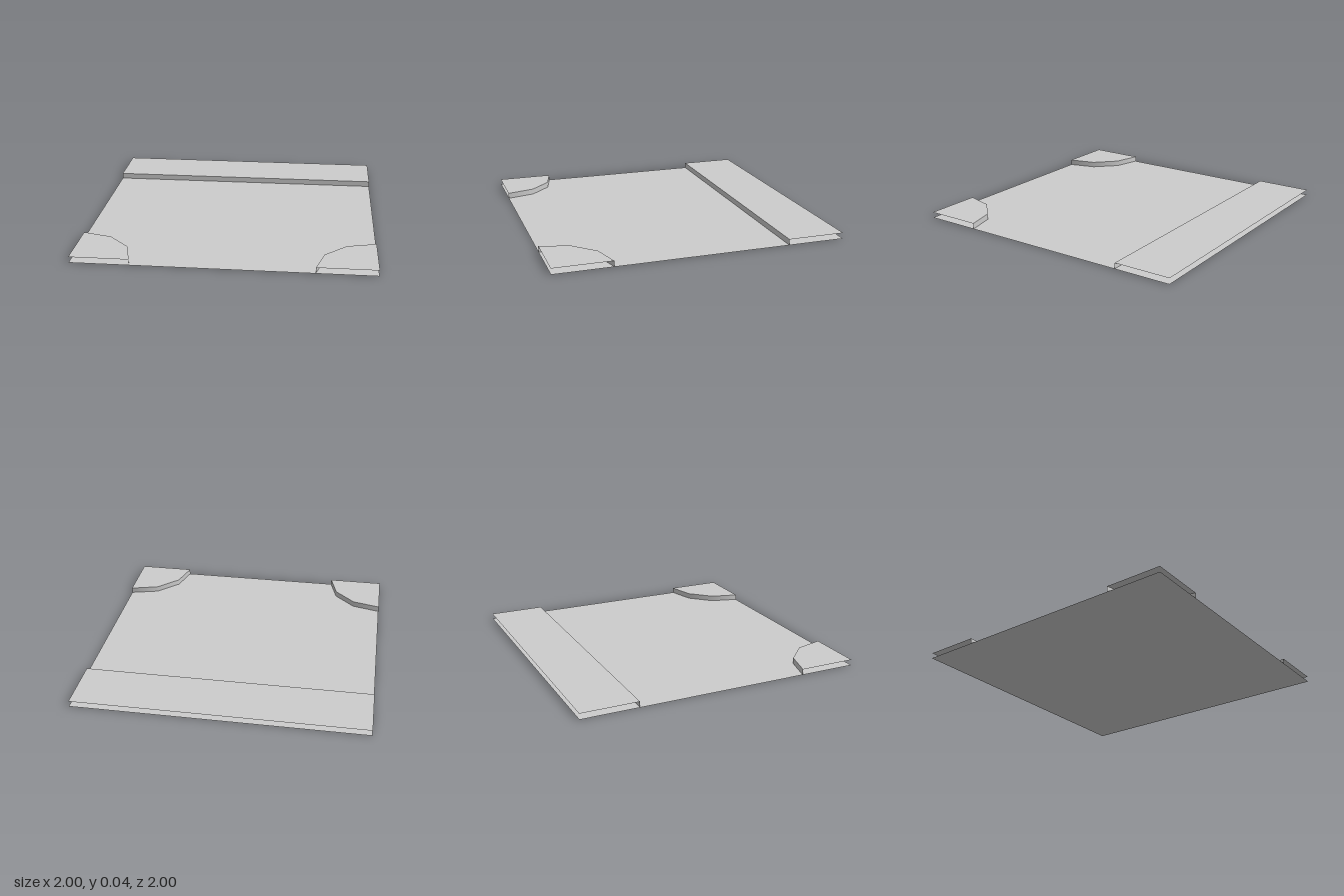
import * as THREE from 'three';

const HEIGHT = 0.04; // height of the raised areas
const RADIUS = 0.4;  // corner radius and depth of the back strip

export function createModel() {
  const model = new THREE.Group();
  model.name = 'floorTile';

  const grey = new THREE.MeshStandardMaterial({ color: 0xcccccc, side: THREE.DoubleSide });
  grey.name = 'lightGrey';

  const add = (name, geometry, x, y, z) => {
    const mesh = new THREE.Mesh(geometry, grey);
    mesh.name = name;
    mesh.position.set(x, y, z);
    model.add(mesh);
  };

  // Flat ground sheet
  add('ground', new THREE.PlaneGeometry(2, 2).rotateX(-Math.PI / 2), 0, 0, 0);

  // Raised strip along the back, open at its outer sides
  const stripEdge = -1 + RADIUS;
  add('backStripTop', new THREE.PlaneGeometry(2, RADIUS).rotateX(-Math.PI / 2), 0, HEIGHT, -1 + RADIUS / 2);
  add('backStripKerb', new THREE.PlaneGeometry(2, HEIGHT), 0, HEIGHT / 2, stripEdge);

  // Raised quarter-round corners at the front, three segments each
  const quarter = Math.PI / 2;
  for (const side of [1, -1]) {
    const name = side > 0 ? 'leftCorner' : 'rightCorner';
    const top = new THREE.CircleGeometry(RADIUS, 3, side > 0 ? quarter : 0, quarter).rotateX(-quarter);
    const kerb = new THREE.CylinderGeometry(RADIUS, RADIUS, HEIGHT, 3, 1, true,
      side > 0 ? Math.PI : quarter, quarter);
    add(name + 'Top', top, side, HEIGHT, 1);
    add(name + 'Kerb', kerb, side, HEIGHT / 2, 1);
  }

  return model;
}
